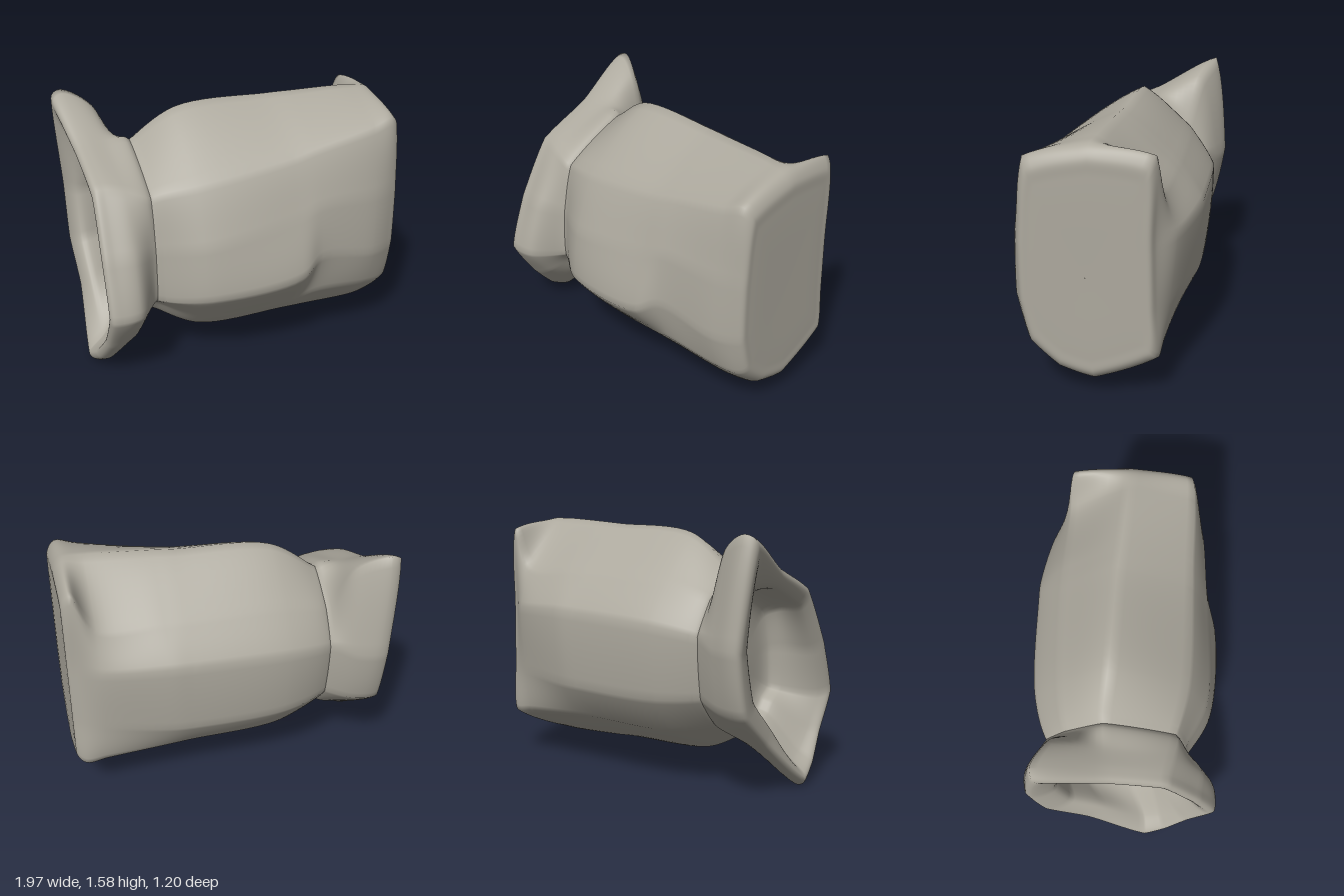
import * as THREE from 'three';

const CORNERS = 11, PER_EDGE = 8, AROUND = CORNERS * PER_EDGE;

// A section is [x, eleven [z, y, dx] points]: ridge, front top, front middle, front bulge,
// undercut, lower front, bottom, lower back, back low, back middle, back top.
const section = (x, points) => points.map(([z, y, dx = 0]) => new THREE.Vector3(x + dx, y, z));

// Copy of a section scaled about its middle and moved along x.
function resized(source, scale, x, keepDx = 0) {
  const mid = new THREE.Vector3();
  source.forEach(p => mid.addScaledVector(p, 1 / source.length));
  return source.map(p => new THREE.Vector3(
    x + (p.x - mid.x) * keepDx,
    mid.y + (p.y - mid.y) * scale,
    mid.z + (p.z - mid.z) * scale));
}

// Outline of a section: between straight panels and a smooth curve.
function outline(points) {
  const curve = new THREE.CatmullRomCurve3(points, true, 'centripetal');
  return Array.from({ length: AROUND }, (_, j) => {
    const k = Math.floor(j / PER_EDGE);
    const straight = points[k].clone().lerp(points[(k + 1) % CORNERS], (j % PER_EDGE) / PER_EDGE);
    return curve.getPoint(j / AROUND).lerp(straight, 0.65);
  });
}

// Skin through a row of closed sections.
function loft(sections, steps) {
  const rings = sections.map(outline);
  const positions = [], index = [];
  for (let j = 0; j < AROUND; j++) {
    const rail = new THREE.CatmullRomCurve3(rings.map(r => r[j]), false, 'centripetal');
    for (let i = 0; i <= steps; i++) positions.push(...rail.getPoint(i / steps).toArray());
  }
  const at = (i, j) => (j % AROUND) * (steps + 1) + i;
  for (let j = 0; j < AROUND; j++) {
    for (let i = 0; i < steps; i++) {
      const a = at(i, j), b = at(i, j + 1), c = at(i + 1, j), d = at(i + 1, j + 1);
      index.push(a, b, c, b, d, c);
    }
  }
  const geometry = new THREE.BufferGeometry();
  geometry.setAttribute('position', new THREE.Float32BufferAttribute(positions, 3));
  geometry.setIndex(index);
  geometry.computeVertexNormals();
  return geometry;
}

export function createModel() {
  const group = new THREE.Group();
  group.name = 'sack';
  const cloth = new THREE.MeshStandardMaterial({ color: 0xada99e, side: THREE.DoubleSide });
  cloth.name = 'greyCloth';

  // Filled body, from the gathered shoulder to the flat end
  const shoulder = section(-0.55, [
    [-0.13, 1.37], [0.31, 1.15], [0.39, 0.82], [0.4, 0.48], [0.28, 0.4], [0.21, 0.32],
    [0.05, 0.26], [-0.3, 0.41], [-0.46, 0.6], [-0.5, 0.99], [-0.37, 1.2]]);
  const full = section(-0.3, [
    [-0.1, 1.53], [0.37, 1.2], [0.51, 0.85], [0.55, 0.51], [0.36, 0.29], [0.27, 0.2],
    [0.08, 0.14], [-0.37, 0.36], [-0.53, 0.58], [-0.56, 1.03], [-0.4, 1.26]]);
  const bulge = section(0.27, [
    [-0.06, 1.555], [0.39, 1.29], [0.51, 0.95], [0.59, 0.57], [0.39, 0.3], [0.28, 0.19],
    [0.05, 0.12], [-0.4, 0.36], [-0.54, 0.58], [-0.56, 1.05], [-0.4, 1.27]]);
  const afterBulge = section(0.43, [
    [-0.04, 1.56], [0.39, 1.33], [0.5, 1], [0.53, 0.66], [0.45, 0.38], [0.28, 0.19],
    [0.04, 0.11], [-0.4, 0.35], [-0.52, 0.58], [-0.55, 1.05], [-0.39, 1.27]]);
  const nearEnd = section(0.8, [
    [0, 1.565], [0.4, 1.42], [0.48, 1], [0.49, 0.6], [0.42, 0.35], [0.26, 0.18],
    [0.02, 0.1], [-0.38, 0.31], [-0.42, 0.6], [-0.45, 1.02], [-0.36, 1.27]]);
  const endEdge = section(0.93, [
    [0.02, 1.55], [0.39, 1.46], [0.44, 1], [0.44, 0.6], [0.38, 0.34], [0.21, 0.18],
    [0, 0.12], [-0.37, 0.29], [-0.36, 0.6], [-0.35, 1], [-0.34, 1.51]]);
  const bodySections = [
    resized(shoulder, 0.84, -0.57), resized(shoulder, 0.93, -0.6), shoulder, full, bulge, afterBulge, nearEnd,
    endEdge, resized(endEdge, 0.92, 0.98), resized(endEdge, 0.78, 0.985), resized(endEdge, 0.002, 0.985)];

  // Flared open mouth with a thick rolled rim and pulled corners
  const flare = section(-0.74, [
    [-0.12, 1.36], [0.28, 1.19], [0.47, 0.85], [0.56, 0.5], [0.42, 0.31], [0.28, 0.21],
    [0.13, 0.16], [-0.27, 0.36], [-0.5, 0.57], [-0.56, 0.95], [-0.43, 1.48]]);
  const rim = section(-0.86, [
    [-0.12, 1.37], [0.25, 1.21, 0.01], [0.46, 0.85], [0.58, 0.5], [0.43, 0.25], [0.28, 0.08, -0.03],
    [0.14, 0, -0.05], [-0.25, 0.32], [-0.52, 0.56], [-0.6, 0.95], [-0.51, 1.58, -0.05]]);
  const lip = section(-0.88, [
    [-0.1, 1.24], [0.2, 1.1], [0.37, 0.8], [0.45, 0.5], [0.34, 0.3], [0.23, 0.19],
    [0.12, 0.16], [-0.14, 0.42], [-0.34, 0.62], [-0.42, 0.93], [-0.36, 1.29]]);
  const mouthSections = [
    resized(shoulder, 0.002, -0.6), resized(shoulder, 0.7, -0.62), resized(shoulder, 0.8, -0.7),
    lip, resized(rim, 0.92, -0.945, 1), resized(rim, 0.98, -0.93, 1),
    rim, flare, resized(shoulder, 0.99, -0.62), resized(shoulder, 0.92, -0.57)];

  for (const [name, sections, steps] of [['body', bodySections, 90], ['mouth', mouthSections, 72]]) {
    const mesh = new THREE.Mesh(loft(sections, steps), cloth);
    mesh.name = name;
    group.add(mesh);
  }

  // Stand on the ground, centred
  const box = new THREE.Box3().setFromObject(group);
  const mid = box.getCenter(new THREE.Vector3());
  group.children.forEach(m => m.geometry.translate(-mid.x, -box.min.y, -mid.z));
  return group;
}
